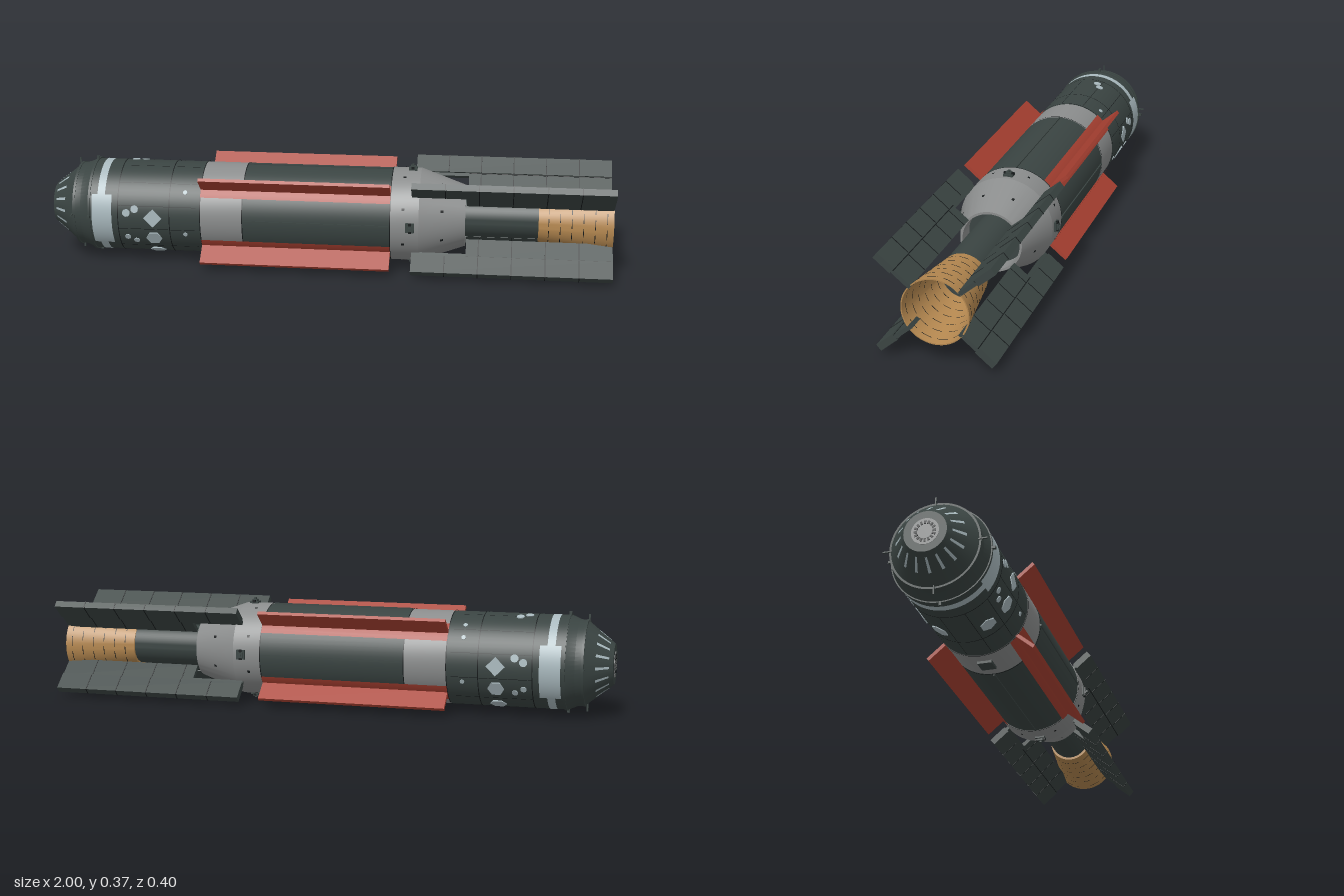
import * as THREE from 'three';
import { toCreasedNormals } from 'three/addons/utils/BufferGeometryUtils.js';

const mat = (name, color, side = THREE.FrontSide) => {
  const m = new THREE.MeshStandardMaterial({ color, side });
  m.name = name;
  return m;
};
const M = {
  hull: mat('dark hull', 0x3a4442),
  black: mat('seam black', 0x161a1b, THREE.DoubleSide),
  grey: mat('mid grey', 0x8b8d8d),
  pale: mat('pale blue grey', 0xa9b9be),
  red: mat('radiator red', 0xa84031),
  bronze: mat('nozzle bronze', 0xb58850),
};
const R = 0.163;
const rad = THREE.MathUtils.degToRad;

export function createModel() {
  const root = new THREE.Group();
  root.name = 'spacecraft';
  const ship = new THREE.Group();
  ship.name = 'ship';
  ship.position.y = 0.184;
  root.add(ship);

  const add = (name, geo, material, parent = ship) => {
    const m = new THREE.Mesh(geo, material);
    m.name = name;
    parent.add(m);
    return m;
  };
  // solid of revolution about the x axis; points are [radius, x]
  const turned = (name, pts, material, parent) => {
    const g = new THREE.LatheGeometry(pts.map(([r, x]) => new THREE.Vector2(r, x)), 64);
    g.rotateZ(-Math.PI / 2);
    return add(name, toCreasedNormals(g, 0.3), material, parent);
  };
  // curved skin patch; angles in degrees, 0 = front, 90 = top
  const skin = (name, x0, x1, r0, r1, a0, a1, material, parent) => {
    const g = new THREE.CylinderGeometry(r1, r0, x1 - x0, Math.max(2, Math.ceil((a1 - a0) / 5)), 1, true, rad(-a1), rad(a1 - a0));
    g.rotateZ(-Math.PI / 2).translate((x0 + x1) / 2, 0, 0);
    return add(name, g, material, parent);
  };
  // group whose local z points outward at the given angle
  const radial = (name, angle) => {
    const g = new THREE.Group();
    g.name = name;
    g.rotation.x = -rad(angle);
    ship.add(g);
    return g;
  };
  const box = (name, x0, x1, w, z0, z1, material, parent, y = 0) => {
    const g = new THREE.BoxGeometry(x1 - x0, w, z1 - z0);
    g.translate((x0 + x1) / 2, y, (z0 + z1) / 2);
    return add(name, g, material, parent);
  };

  // pressure hull
  turned('noseAndForwardHull', [[0, -1], [0.07, -1], [0.138, -0.915], [0.147, -0.905], [0.15, -0.88],
    [0.163, -0.85], [R, -0.445]], M.hull);
  turned('greyBand', [[R, -0.445], [R, -0.295]], M.grey);
  turned('midHull', [[R, -0.295], [R, 0.225]], M.hull);
  turned('aftSkirt', [[R, 0.225], [0.165, 0.226], [0.165, 0.325], [0.108, 0.485], [0.1, 0.485], [0.1, 0.42]], M.grey);
  turned('engineTube', [[0.1, 0.42], [0.074, 0.42], [0.074, 0.74]], M.hull);
  for (const x of [-0.905, -0.845]) {
    turned('noseFlange', [[0.14, x - 0.004], [x < -0.9 ? 0.15 : 0.167, x - 0.004], [x < -0.9 ? 0.15 : 0.167, x + 0.004], [0.14, x + 0.004]], M.hull);
  }

  // nose tip and radiating strips
  turned('noseHub', [[0, -1.0], [0.045, -0.9995 - 0.0005], [0.045, -0.99]], M.grey).position.x = -0.001;
  for (let i = 0; i < 16; i++) {
    const a = (i * 360) / 16;
    skin('noseStrip', -0.987, -0.945, 0.083, 0.1157, a - 2.5, a + 2.5, M.pale);
    const bolt = radial('noseHubBolt', a);
    box('bolt', -1.003, -0.999, 0.007, 0.025, 0.036, M.black, bolt);
  }

  // pale collar with wide side panels
  skin('paleCollar', -0.815, -0.788, R + 0.001, R + 0.001, 0, 360, M.pale);
  for (const a of [-6, 186]) skin('paleSidePanel', -0.835, -0.763, R + 0.002, R + 0.002, a - 34, a + 34, M.pale);

  // seams on the hull
  for (const x of [-0.74, -0.555, -0.445, -0.295, 0.225]) {
    skin('ringSeam', x - 0.0015, x + 0.0015, R + 0.0025, R + 0.0025, 0, 360, M.black);
  }
  for (let a = 15; a < 360; a += 30) skin('longSeam', -0.74, -0.46, R + 0.0008, R + 0.0008, a - 0.3, a + 0.3, M.black);

  // windows: [x, angle, radius, sides]
  const ports = [[-0.615, 0, 0.033, 4], [-0.615, -29, 0.029, 6], [-0.615, -60, 0.029, 6], [-0.71, 6, 0.014, 10],
    [-0.68, 11, 0.014, 10], [-0.71, -28, 0.011, 10], [-0.68, -34, 0.011, 10], [-0.5, 34, 0.008, 8], [-0.5, -21, 0.008, 8]];
  const both = ports.flatMap(([x, a, r, n]) => [[x, a, r, n], [x, 180 - a, r, n]]);
  both.push([-0.71, 100, 0.014, 10], [-0.68, 106, 0.014, 10], [-0.5, 128, 0.008, 8]);
  for (const [x, a, r, n] of both) {
    const g = new THREE.CylinderGeometry(r, r, 0.009, n);
    g.rotateX(Math.PI / 2);
    if (n === 6) g.rotateZ(Math.PI / 6);
    g.translate(x, 0, R - 0.002);
    add('window', g, M.pale, radial('windowMount', a));
  }

  // red radiators and long tail panels, four of each
  for (const a of [40, 140, 220, 320]) {
    skin('radiatorBase', -0.445, 0.225, R + 0.0045, R + 0.0045, a - 12, a + 12, M.red);
    const wing = radial('radiator', a);
    box('radiatorWing', -0.445, 0.225, 0.012, 0.155, 0.24, M.red, wing);

    const panel = radial('tailPanel', a);
    box('outerPanel', 0.3, 0.998, 0.024, 0.176, 0.247, M.hull, panel);
    box('panelRoot', 0.3, 0.49, 0.013, 0.163, 0.18, M.hull, panel);
    box('innerPanel', 0.49, 0.998, 0.014, 0.103, 0.18, M.hull, panel);
    for (let i = 1; i < 6; i++) {
      const x = 0.3 + i * 0.1165;
      box('panelSeam', x - 0.0015, x + 0.0015, 0.026, 0.178, 0.248, M.black, panel);
      if (x > 0.5) box('innerSeam', x - 0.0015, x + 0.0015, 0.0155, 0.104, 0.176, M.black, panel);
    }
    box('hingeLine', 0.49, 0.998, 0.016, 0.173, 0.1765, M.black, panel);
  }

  // attitude thruster clusters and nose probes
  for (const a of [0, 90, 180, 270]) {
    const pod = radial('thrusterPod', a);
    box('podBase', 0.28, 0.31, 0.034, 0.16, 0.171, M.hull, pod);
    box('podBody', 0.286, 0.304, 0.02, 0.17, 0.178, M.hull, pod);
    box('podTip', 0.291, 0.299, 0.008, 0.178, 0.184, M.hull, pod);
    for (const s of [-1, 1]) {
      box('sideJet', 0.29, 0.3, 0.008, 0.168, 0.176, M.black, pod, s * 0.014);
    }
    box('noseProbe', -0.913, -0.907, 0.004, 0.14, 0.17, M.hull, pod);
    box('noseFitting', -0.85, -0.84, 0.008, 0.16, 0.177, M.hull, pod);
    box('conduit', -0.29, 0.22, 0.006, 0.16, 0.167, M.hull, pod);
  }
  for (let a = 22; a < 360; a += 45) {
    skin('skirtPort', 0.265, 0.275, 0.1665, 0.1665, a - 1.5, a + 1.5, M.black);
    skin('conePort', 0.4, 0.41, 0.1393, 0.1357, a - 1.8, a + 1.8, M.black);
  }
  const belly = radial('bellyFitting', 270);
  box('bellySensor', -0.4, -0.345, 0.05, 0.15, 0.171, M.hull, belly);

  // open engine nozzle with broken rings
  const engine = new THREE.Group();
  engine.name = 'nozzle';
  engine.position.y = -0.005;
  ship.add(engine);
  const wall = (x) => 0.079 + ((x - 0.74) / 0.26) * 0.033;
  turned('bell', [[0.07, 0.74], [0.079, 0.74], [wall(0.998), 0.998], [wall(0.998) - 0.004, 0.998], [0.0755, 0.745], [0.07, 0.745]], M.bronze, engine);
  const throat = add('throat', new THREE.CircleGeometry(0.0735, 48), M.hull, engine);
  throat.rotation.y = Math.PI / 2;
  throat.position.x = 0.747;
  for (let i = 0; i < 6; i++) {
    const x = 0.775 + i * 0.04;
    for (let k = 0; k < 12; k++) {
      const a = k * 30 + (i % 2) * 12;
      const w = 0.0013;
      skin('outerRing', x - w, x + w, wall(x) + 0.0008, wall(x) + 0.0008, a, a + 20, M.black, engine);
      skin('innerRing', x - w, x + w, wall(x) - 0.0052, wall(x) - 0.0052, a, a + 20, M.black, engine);
    }
  }
  return root;
}
